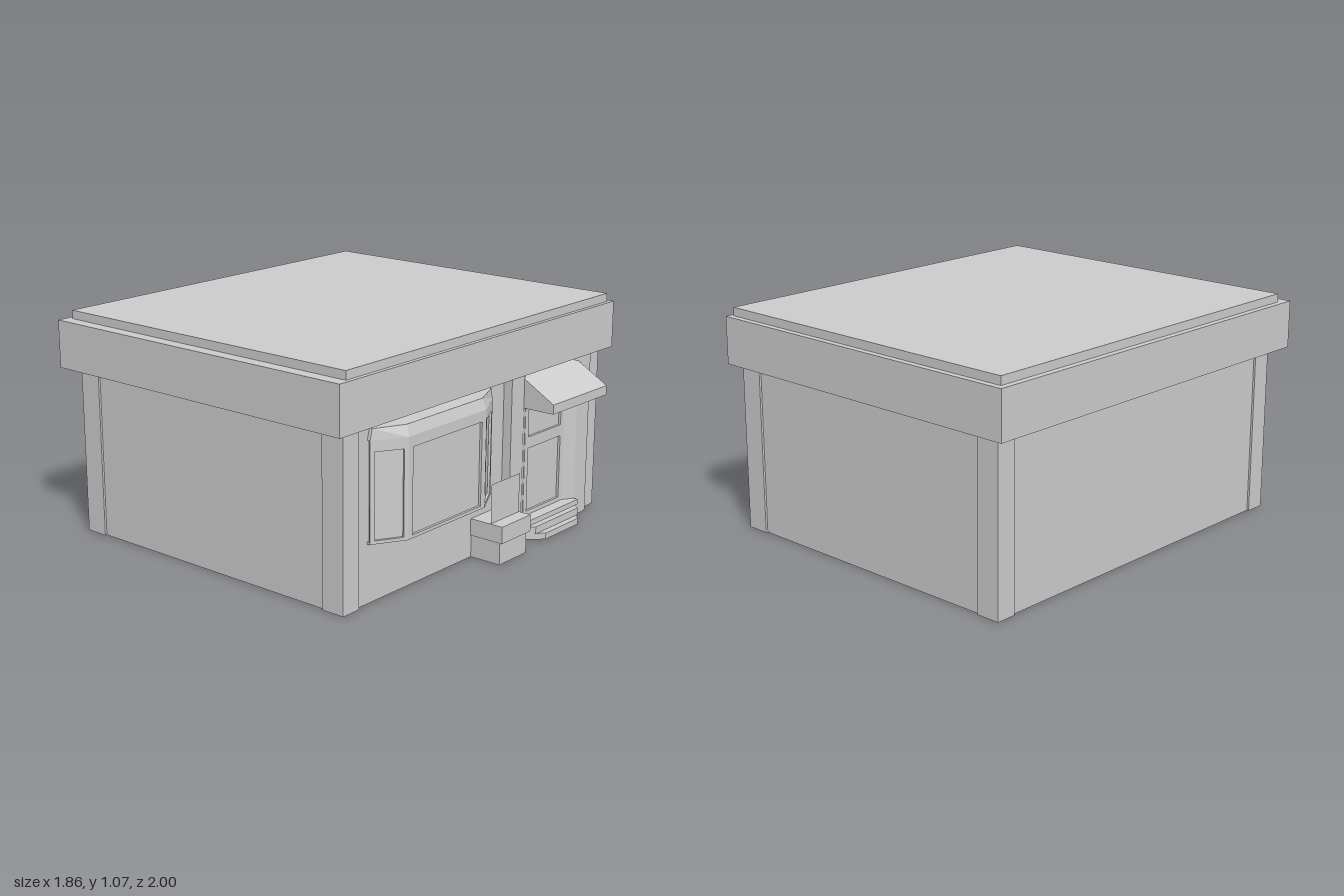
import * as THREE from 'three';

const material = new THREE.MeshStandardMaterial({ color: 0xcccccc, flatShading: true });
const thin = new THREE.MeshStandardMaterial({ color: 0xcccccc, flatShading: true, side: THREE.DoubleSide });

export function createModel() {
  const model = new THREE.Group();

  const add = (name, geometry, mat = material) => {
    const mesh = new THREE.Mesh(geometry, mat);
    mesh.name = name;
    model.add(mesh);
    return mesh;
  };

  // Box given by its limits on each axis
  const box = (name, x0, x1, y0, y1, z0, z1) =>
    add(name, new THREE.BoxGeometry(x1 - x0, y1 - y0, z1 - z0)
      .translate((x0 + x1) / 2, (y0 + y1) / 2, (z0 + z1) / 2));

  // Upright prism over a plan outline of [x, z] points
  const prism = (points, y0, y1) => {
    const shape = new THREE.Shape(points.map(([x, z]) => new THREE.Vector2(x, -z)));
    return new THREE.ExtrudeGeometry(shape, { depth: y1 - y0, bevelEnabled: false })
      .rotateX(-Math.PI / 2).translate(0, y0, 0);
  };

  // Panel from plan point a to b, pierced by holes [u0, u1, y0, y1]
  const framedPanel = (name, a, b, y0, y1, depth, holes) => {
    const dx = b[0] - a[0], dz = b[1] - a[1], w = Math.hypot(dx, dz);
    const rect = (Type, u0, u1, v0, v1) => new Type([
      new THREE.Vector2(u0, v0), new THREE.Vector2(u1, v0),
      new THREE.Vector2(u1, v1), new THREE.Vector2(u0, v1)]);
    const shape = rect(THREE.Shape, 0, w, y0, y1);
    for (const h of holes) shape.holes.push(rect(THREE.Path, ...h));
    const mesh = add(name, new THREE.ExtrudeGeometry(shape, { depth, bevelEnabled: false })
      .translate(0, 0, -depth));
    mesh.position.set(a[0], 0, a[1]);
    mesh.rotation.y = Math.atan2(-dz, dx);
    return w;
  };

  // Walls and corner pilasters
  box('walls', -0.855, 0.72, 0, 0.8, -0.94, 0.92);
  for (const [x0, x1] of [[-0.865, -0.75], [0.62, 0.735]])
    for (const [z0, z1] of [[-0.95, -0.85], [0.83, 0.93]])
      box('cornerPilaster', x0, x1, 0, 0.8, z0, z1);

  // Roof fascia and raised roof deck
  box('roofFascia', -0.93, 0.78, 0.8, 1.025, -1, 1);
  box('roofDeck', -0.9, 0.76, 1.025, 1.065, -0.97, 0.94);

  // Bay window: core acts as glass, with a frame on each of three sides
  const bay = [[0.72, 0.76], [0.735, 0.76], [0.82, 0.61], [0.82, 0.07], [0.735, -0.09], [0.72, -0.09]];
  const core = [[0.72, 0.745], [0.728, 0.745], [0.808, 0.604], [0.808, 0.076], [0.728, -0.075], [0.72, -0.075]];
  add('bayGlass', prism(core, 0.272, 0.724));
  add('baySill', prism(bay, 0.27, 0.28));
  for (let i = 1; i < 4; i++) {
    const w = Math.hypot(bay[i + 1][0] - bay[i][0], bay[i + 1][1] - bay[i][1]);
    const m = i === 2 ? 0.03 : 0.02;
    framedPanel('bayFrame', bay[i], bay[i + 1], 0.27, 0.725, 0.012, [[m, w - m, 0.285, 0.675]]);
  }

  // Bay roof with its upper edge drawn in
  const cap = prism(bay, 0.725, 0.775);
  const p = cap.attributes.position;
  for (let i = 0; i < p.count; i++) {
    if (p.getY(i) < 0.75) continue;
    if (p.getX(i) > 0.8) p.setX(i, p.getX(i) - 0.018);
    p.setZ(i, 0.335 + (p.getZ(i) - 0.335) * 0.97);
  }
  cap.computeVertexNormals();
  add('bayRoof', cap);

  // Door surround: pilasters with splayed jambs
  add('doorPilaster', prism([[0.71, -0.197], [0.765, -0.197], [0.765, -0.293], [0.73, -0.357], [0.71, -0.357]], 0, 0.8));
  add('doorPilaster', prism([[0.71, -0.675], [0.73, -0.675], [0.765, -0.735], [0.765, -0.837], [0.71, -0.837]], 0, 0.8));

  // Door with two sunken panels
  framedPanel('door', [0.732, -0.357], [0.732, -0.675], 0.09, 0.8, 0.012, [
    [0.028, 0.293, 0.11, 0.42], [0.028, 0.293, 0.475, 0.62]]);

  // Awning over the door
  const profile = new THREE.Shape([[0.72, 0.799], [0.72, 0.64], [0.925, 0.64], [0.925, 0.685], [0.735, 0.795]]
    .map(([x, y]) => new THREE.Vector2(x, y)));
  add('awning', new THREE.ExtrudeGeometry(profile, { depth: 0.44, bevelEnabled: false }).translate(0, 0, -0.735));

  // Steps with angled ends, narrowing downwards
  for (const [x, inset, y0, y1] of [[0.79, 0, 0.065, 0.09], [0.82, 0.045, 0.03, 0.065], [0.85, 0.085, 0, 0.03]])
    add('step', prism([[0.72, -0.295], [0.765, -0.295], [x, -0.295 - inset],
      [x, -0.735 + inset], [0.765, -0.735], [0.72, -0.735]], y0, y1));

  // Planter with a flat upright foliage card
  box('planterBase', 0.72, 0.88, 0, 0.105, -0.175, 0.03);
  box('planterRim', 0.72, 0.895, 0.105, 0.185, -0.185, 0.035);
  add('foliageCard', new THREE.PlaneGeometry(0.215, 0.185).rotateY(Math.PI / 2).translate(0.83, 0.2775, -0.075), thin);

  return model;
}
